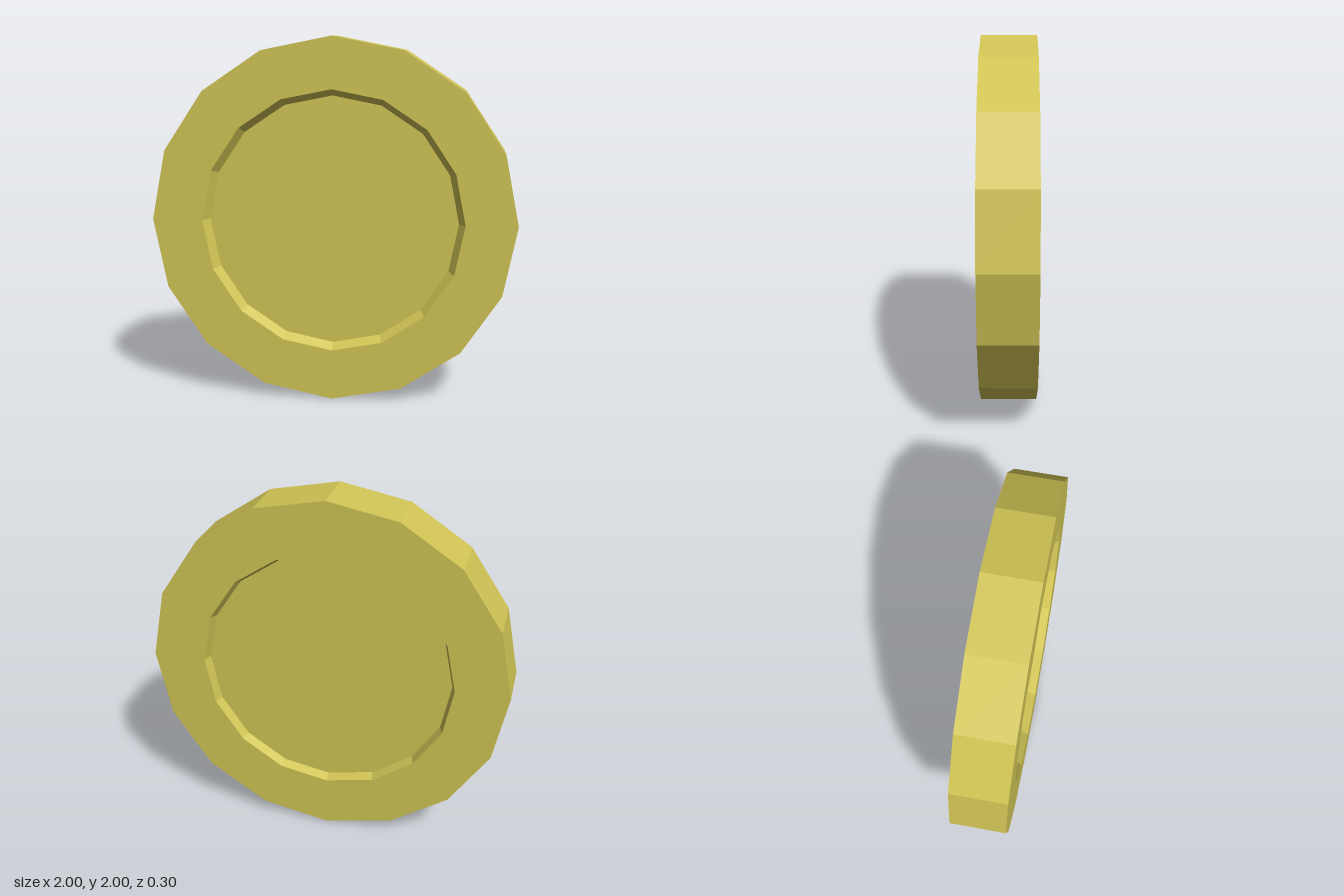
import * as THREE from 'three';

export function createModel() {
  const group = new THREE.Group();
  const material = new THREE.MeshStandardMaterial({ color: 0xd0c455, flatShading: true });

  // Half section of the disc: radius, then height along the coin's axis.
  const profile = [
    [0, -0.1], [0.685, -0.1],    // recessed back floor
    [0.705, -0.15], [1, -0.15],  // back rim
    [1, 0.15], [0.72, 0.15],     // outer edge and front rim
    [0.685, 0.1], [0, 0.1],      // recessed front floor
  ].map(([r, h]) => new THREE.Vector2(r, h));

  // Sixteen-sided coin standing on its edge.
  const geometry = new THREE.LatheGeometry(profile, 16);
  geometry.rotateX(Math.PI / 2);
  const coin = new THREE.Mesh(geometry, material);
  coin.name = 'coin';
  coin.position.y = 1;
  group.add(coin);
  return group;
}
